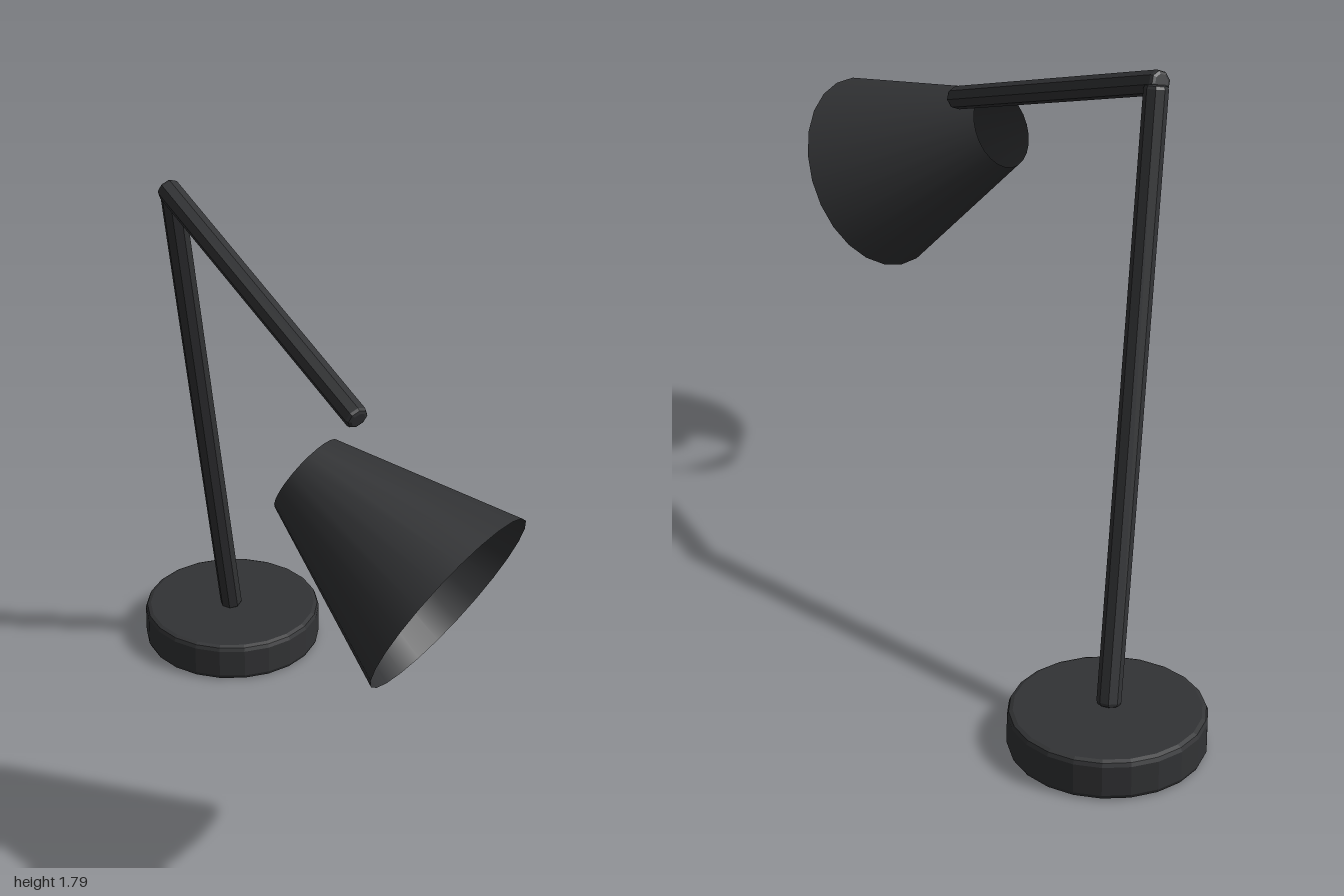
import * as THREE from 'three';

const UP = new THREE.Vector3(0, 1, 0);
const V = (x, y, z) => new THREE.Vector3(x, y, z);

const dark = new THREE.MeshStandardMaterial({ color: 0x323335, flatShading: true });
const shadeMat = new THREE.MeshStandardMaterial({ color: 0x323335, side: THREE.DoubleSide });
const bulbMat = new THREE.MeshStandardMaterial({ color: 0xcccccc, flatShading: true });

// Solid disc or rod along +y from 0 to h, with bevelled rims
function bevelled(radius, h, bevel, sides) {
  const b = bevel * 0.3;
  const profile = [
    [0, 0], [radius - bevel, 0], [radius - b, b], [radius, bevel],
    [radius, h - bevel], [radius - b, h - b], [radius - bevel, h], [0, h],
  ].map(([x, y]) => new THREE.Vector2(x, y));
  return new THREE.LatheGeometry(profile, sides);
}

// Put a y-aligned mesh at start, pointing towards end
function aim(mesh, start, end) {
  mesh.position.copy(start);
  mesh.quaternion.setFromUnitVectors(UP, end.clone().sub(start).normalize());
  return mesh;
}

function arm(name, start, end) {
  const mesh = new THREE.Mesh(bevelled(0.034, start.distanceTo(end), 0.012, 8), dark);
  mesh.name = name;
  return aim(mesh, start, end);
}

export function createModel() {
  const lamp = new THREE.Group();
  lamp.name = 'deskLamp';

  // Round foot
  const base = new THREE.Mesh(bevelled(0.275, 0.12, 0.016, 22), dark);
  base.name = 'base';
  base.position.set(-0.352, 0, -0.725);
  lamp.add(base);

  // Two straight arms meeting at the elbow
  lamp.add(arm('lowerArm', V(-0.354, 0.12, -0.718), V(-0.431, 1.75, -0.256)));
  lamp.add(arm('upperArm', V(-0.445, 1.757, -0.257), V(0.17, 1.432, 0.428)));

  // Conical shade, open at both ends
  const narrow = V(0.042, 1.31, 0.513);
  const wide = V(0.44, 1.072, 0.728);
  const shade = new THREE.Mesh(
    new THREE.LatheGeometry([new THREE.Vector2(0.12, 0), new THREE.Vector2(0.294, narrow.distanceTo(wide))], 24),
    shadeMat
  );
  shade.name = 'shade';
  lamp.add(aim(shade, narrow, wide));

  // Bulb inside the shade
  const bulb = new THREE.Mesh(new THREE.SphereGeometry(0.085, 24, 16), bulbMat);
  bulb.name = 'bulb';
  bulb.position.set(0.305, 1.155, 0.66);
  lamp.add(bulb);

  return lamp;
}
